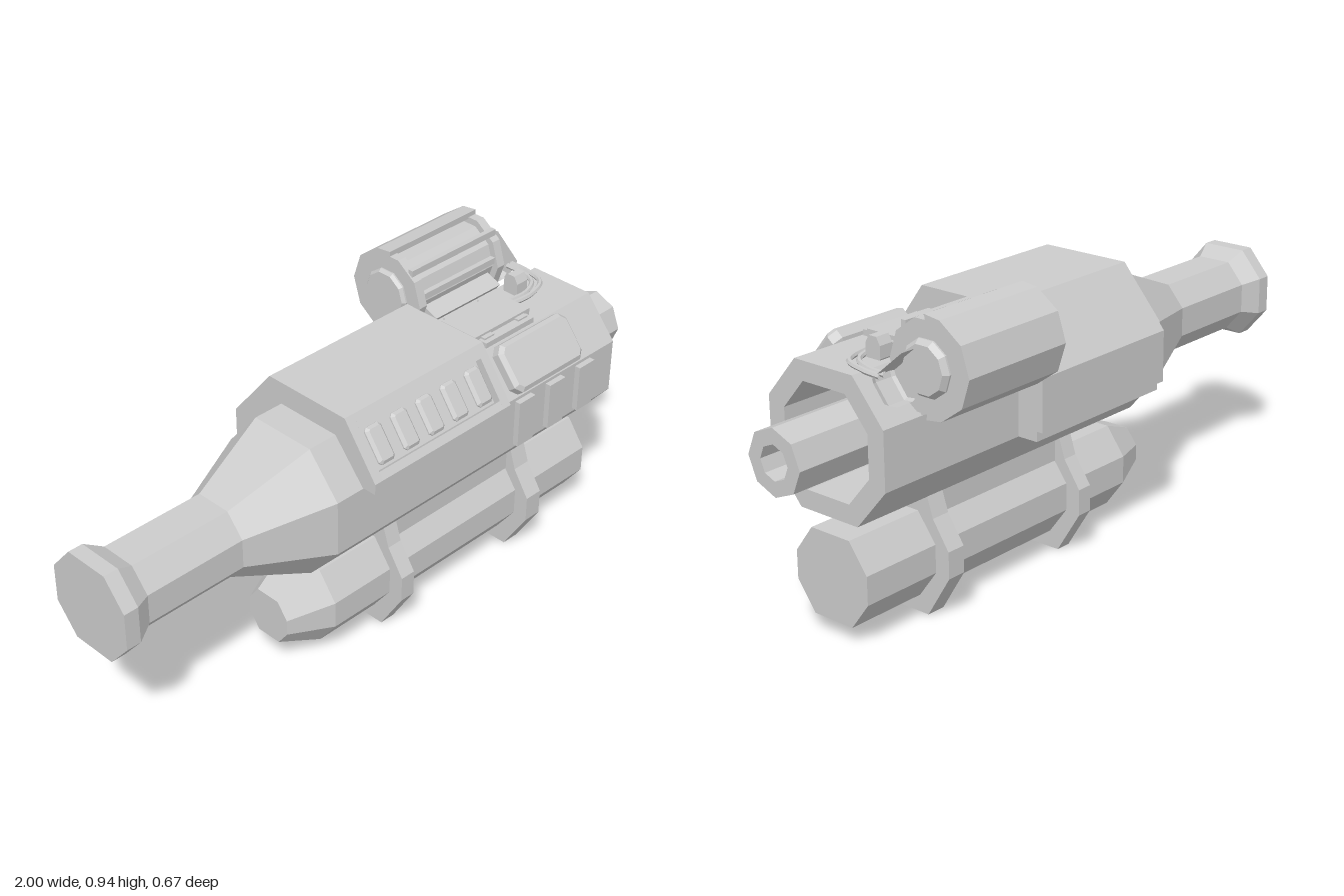
import * as THREE from 'three';

const grey = new THREE.MeshStandardMaterial({ color: 0xcccccc, flatShading: true });

// Eight-sided outline as [z, y] pairs: half width, half height, half top flat, half side flat
const octagon = (w, h, t, s) => [[-t, h], [t, h], [w, s], [w, -s], [t, -h], [-t, -h], [-w, -s], [-w, s]];

// Regular outline with a corner pointing along angle a0 (0 is up, turning towards +z)
const ring = (n, r, a0 = 0) => Array.from({ length: n }, (_, i) => {
  const a = a0 + (i / n) * Math.PI * 2;
  return [r * Math.sin(a), r * Math.cos(a)];
});

// Sweeps an outline along x through [x, scale] stations, with closed ends
function loft(outline, stations, cz, cy) {
  const pos = [];
  const n = outline.length;
  const at = ([x, s], i) => [x, cy + outline[i % n][1] * s, cz + outline[i % n][0] * s];
  const tri = (...p) => p.forEach((v) => pos.push(...v));
  for (let k = 0; k < stations.length - 1; k++) {
    const A = stations[k], B = stations[k + 1];
    for (let i = 0; i < n; i++) {
      tri(at(A, i), at(A, i + 1), at(B, i + 1));
      tri(at(A, i), at(B, i + 1), at(B, i));
    }
  }
  const first = stations[0], last = stations[stations.length - 1];
  for (let i = 0; i < n; i++) {
    tri([first[0], cy, cz], at(first, i + 1), at(first, i));
    tri([last[0], cy, cz], at(last, i), at(last, i + 1));
  }
  const g = new THREE.BufferGeometry();
  g.setAttribute('position', new THREE.Float32BufferAttribute(pos, 3));
  g.computeVertexNormals();
  return g;
}

// Extrudes a [z, y] outline from x0 to x1
function extrudeX(points, x0, x1) {
  const shape = new THREE.Shape(points.map(([z, y]) => new THREE.Vector2(-z, y)));
  const g = new THREE.ExtrudeGeometry(shape, { depth: x1 - x0, bevelEnabled: false });
  return g.rotateY(Math.PI / 2).translate(x0, 0, 0);
}

// Plate with cut corners and a bevelled outer face, its back on z = 0
function plate(w, h, t, c) {
  const b = Math.min(t * 0.4, 0.012), x = w / 2 - b, y = h / 2 - b;
  const shape = new THREE.Shape([
    [-x + c, -y], [x - c, -y], [x, -y + c], [x, y - c], [x - c, y], [-x + c, y], [-x, y - c], [-x, -y + c],
  ].map((p) => new THREE.Vector2(...p)));
  return new THREE.ExtrudeGeometry(shape, {
    depth: t - 2 * b, bevelEnabled: true, bevelSize: b, bevelThickness: b, bevelSegments: 1,
  }).translate(0, 0, b);
}

export function createModel() {
  const model = new THREE.Group();
  const add = (name, geometry, x = 0, y = 0, z = 0, tilt = 0) => {
    const mesh = new THREE.Mesh(geometry, grey);
    mesh.name = name;
    mesh.position.set(x, y, z);
    mesh.rotation.x = tilt;
    model.add(mesh);
    return mesh;
  };
  const box = (name, x0, x1, y0, y1, z0, z1) => add(name, new THREE.BoxGeometry(x1 - x0, y1 - y0, z1 - z0),
    (x0 + x1) / 2, (y0 + y1) / 2, (z0 + z1) / 2);
  const AZ = 0.08, AY = 0.56;

  // Main body: end flange, neck, taper, wide hull and hollow muzzle
  add('body', loft(octagon(0.21, 0.208, 0.105, 0.085), [
    [-1, 0.67], [-0.955, 0.67], [-0.9, 0.525], [-0.58, 0.525], [-0.33, 1], [0.82, 1], [0.82, 0.73], [0.55, 0.73],
  ], AZ, AY));

  // Barrel with a bored end
  add('barrel', loft(ring(8, 0.095), [[0.5, 1], [1, 1], [1, 0.53], [0.86, 0.53]], AZ, AY));

  // Housing around the hull, with a recessed sloping front between two end frames
  const outer = [[-0.07, 0.837], [0.22, 0.837]];
  const notch = [[0.243, 0.806], [0.223, 0.791], [0.3, 0.685], [0.32, 0.7]];
  const rest = [[0.335, 0.68], [0.335, 0.647], [0.26, 0.647], [0.1, 0.5], [-0.1, 0.475],
    [-0.195, 0.475], [-0.195, 0.505], [-0.215, 0.505], [-0.215, 0.66]];
  add('housingFrame', extrudeX([...outer, ...rest], -0.235, -0.205));
  add('housingCore', extrudeX([...outer, ...notch, ...rest], -0.205, 0.275));
  add('housingFrame', extrudeX([...outer, ...rest], 0.275, 0.305));
  for (let i = 0; i < 5; i++) {
    add('vent', plate(0.06, 0.11, 0.022, 0.004), -0.157 + i * 0.0975, 0.739, 0.2635, -0.632);
  }

  // Sloping cover and three side plates at the front
  add('slopeCover', plate(0.295, 0.15, 0.05, 0.015), 0.51, 0.708, 0.236, -0.694);
  for (let i = 0; i < 3; i++) box('sidePlate', 0.38 + i * 0.133, 0.447 + i * 0.133, 0.487, 0.635, 0.27, 0.308);

  // Top fittings and cables
  box('topPanel', 0.355, 0.59, 0.76, 0.797, 0.02, 0.15);
  for (const x of [0.4, 0.545]) box('topPanelClip', x - 0.02, x + 0.02, 0.76, 0.79, 0.005, 0.165);
  box('topPanelStep', 0.37, 0.575, 0.76, 0.785, 0.12, 0.18);
  add('sensorBlock', loft(octagon(0.026, 0.04, 0.013, 0.018), [[0.65, 1], [0.695, 1]], 0.024, 0.79));
  for (const d of [0, 0.018]) {
    const path = new THREE.CatmullRomCurve3([
      [0.58, 0.778, 0.058 + d], [0.68, 0.775, 0.06 + d], [0.74 + d, 0.775, 0.03 + d],
      [0.765 + d, 0.772, -0.03], [0.768 + d, 0.77, -0.09],
    ].map((p) => new THREE.Vector3(...p)));
    add('cable', new THREE.TubeGeometry(path, 18, 0.008, 6));
  }

  // Scope: inner drum, end discs, and a curved cover over the back
  const SZ = -0.197, SY = 0.8;
  const decagon = (r) => ring(10, r, Math.PI / 10);
  add('scopeDrum', loft(decagon(0.11), [[0.36, 1], [0.72, 1]], SZ, SY));
  for (const x of [0.355, 0.695]) add('scopeDisc', loft(decagon(0.131), [[x, 1], [x + 0.03, 1]], SZ, SY));
  add('scopeEndCap', loft(decagon(0.08), [[0.34, 0.9], [0.35, 1], [0.73, 1], [0.745, 0.85]], SZ, SY));
  const arc = (r, angles) => angles.map((deg) => {
    const a = (deg * Math.PI) / 180;
    return [SZ - r * Math.cos(a), SY + r * Math.sin(a)];
  });
  const sweep = [93, 72, 36, 0, -36, -72, -93];
  add('scopeCover', extrudeX([...arc(0.14, sweep), ...arc(0.12, [...sweep].reverse())], 0.355, 0.725));
  box('scopeRail', 0.36, 0.72, 0.888, 0.908, -0.12, -0.104);
  box('scopeRail', 0.385, 0.695, 0.81, 0.83, -0.1, -0.08);
  add('scopeMount', extrudeX([[-0.04, 0.76], [-0.12, 0.79], [-0.2, 0.72], [-0.185, 0.665], [-0.125, 0.645]], 0.4, 0.68));

  // Slanted pod on the scope's muzzle end
  const pod = [[0.075, -0.023], [0.033, -0.076], [0.003, -0.073], [-0.076, 0.009],
    [-0.076, 0.046], [-0.049, 0.071], [-0.017, 0.074], [0.08, -0.008]].reverse();
  add('scopePod', loft(pod, [[0.715, 0.85], [0.735, 1], [0.79, 1], [0.81, 0.85]], -0.155, 0.777));

  // Lower tank with a tapered nose, held by two straps and a spacer
  add('tank', loft(octagon(0.132, 0.126, 0.07, 0.042), [[-0.4, 0.58], [-0.265, 1], [0.82, 1]], AZ, 0.177));
  const half = [[0.105, 0.37], [0.105, 0.355], [0.125, 0.293], [0.18, 0.21], [0.18, 0.13], [0.1, 0]];
  const strap = [...half, ...half.map(([z, y]) => [-z, y]).reverse()].map(([z, y]) => [z + AZ, y]);
  for (const [a, b] of [[-0.045, 0.005], [0.5, 0.56]]) add('strap', extrudeX(strap, a, b));
  add('spacer', extrudeX([[0.17, 0.37], [0.17, 0.28], [-0.01, 0.28], [-0.01, 0.37]], 0, 0.505));

  return model;
}
